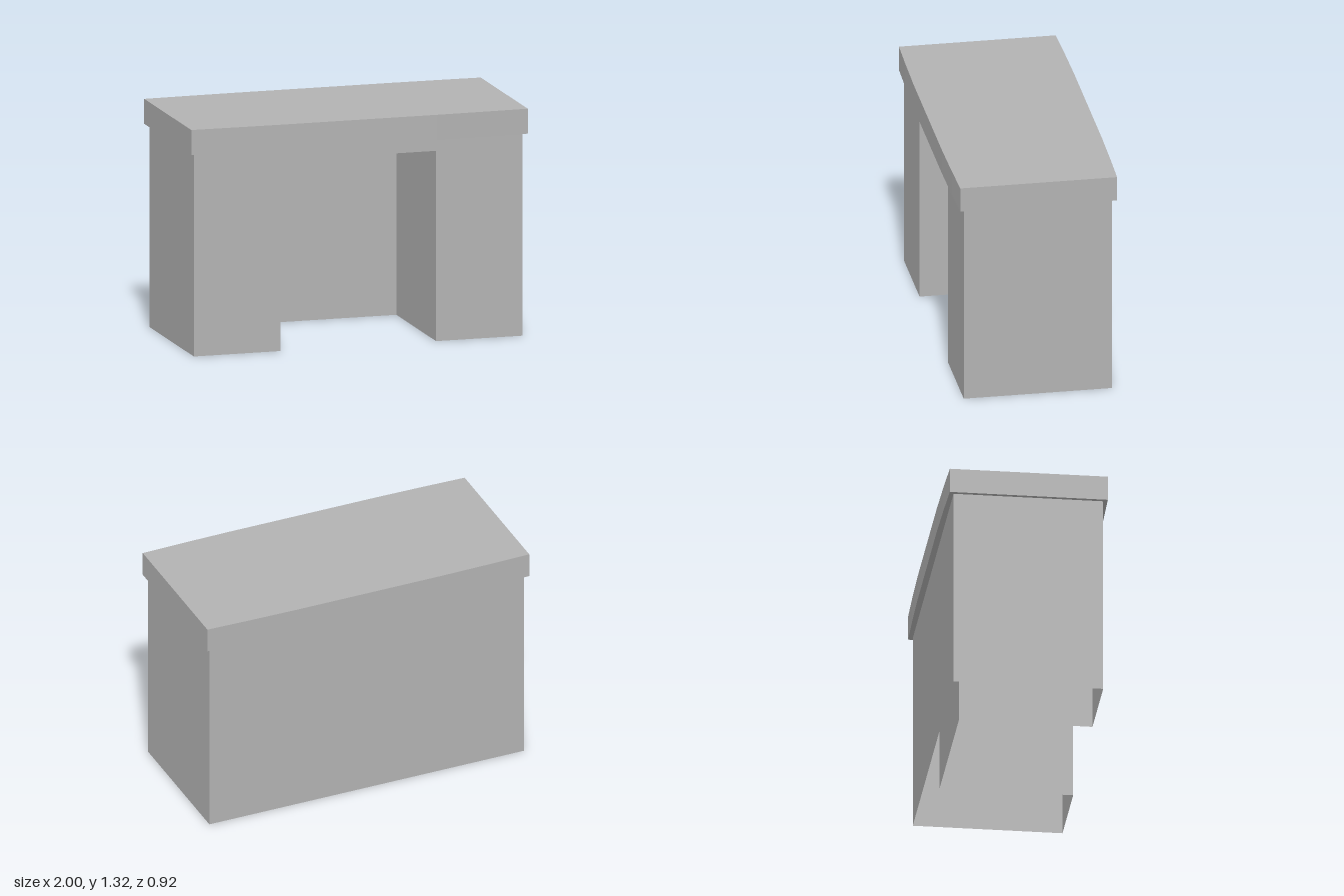
import * as THREE from 'three';

const grey = new THREE.MeshStandardMaterial({ color: 0xb2b2b2, side: THREE.DoubleSide });
grey.name = 'plain grey';

// Overall measures
const W = 0.977, D = 0.428, H = 1.175;            // body half width, half depth, height
const KW = 0.4625, KH = 1.104, KZ = -0.336;       // kneehole half width, height, back
const TOP = 1.32;

function add(parent, name, geometry, x = 0, y = 0, z = 0, rx = 0, ry = 0) {
  const mesh = new THREE.Mesh(geometry, grey);
  mesh.name = name;
  mesh.position.set(x, y, z);
  mesh.rotation.set(rx, ry, 0);
  parent.add(mesh);
}

export function createModel() {
  const desk = new THREE.Group();
  desk.name = 'desk';

  // Hollow body of thin sheets, open underneath
  const body = new THREE.Group();
  body.name = 'body';
  desk.add(body);
  const front = new THREE.Shape([
    [-W, 0], [-KW, 0], [-KW, KH], [KW, KH], [KW, 0], [W, 0], [W, H], [-W, H],
  ].map(([x, y]) => new THREE.Vector2(x, y)));
  add(body, 'frontPanel', new THREE.ShapeGeometry(front), 0, 0, D);
  add(body, 'backPanel', new THREE.PlaneGeometry(2 * W, H), 0, H / 2, -D, 0, Math.PI);

  // Kneehole recess
  const depth = D - KZ, midZ = (D + KZ) / 2;
  add(body, 'kneeholeBack', new THREE.PlaneGeometry(2 * KW, KH), 0, KH / 2, KZ);
  add(body, 'kneeholeCeiling', new THREE.PlaneGeometry(2 * KW, depth), 0, KH, midZ, Math.PI / 2);

  // Outer sides and kneehole sides, mirrored
  for (const [side, s] of [['left', 1], ['right', -1]]) {
    add(body, side + 'Side', new THREE.PlaneGeometry(2 * D, H), s * W, H / 2, 0, 0, s * Math.PI / 2);
    add(body, side + 'KneeholeSide', new THREE.PlaneGeometry(depth, KH), s * KW, KH / 2, midZ, 0, -s * Math.PI / 2);
  }

  // Worktop slab with slightly bowed long edges
  const edge = [[-1, 0.452], [-0.75, 0.458], [-0.46, 0.462], [0.46, 0.462], [0.75, 0.458], [1, 0.452]];
  const outline = [
    ...edge.map(([x, z]) => new THREE.Vector2(x, -z)),
    ...edge.map(([x, z]) => new THREE.Vector2(-x, z)),
  ];
  const slab = new THREE.ExtrudeGeometry(new THREE.Shape(outline), { depth: TOP - H, bevelEnabled: false });
  add(desk, 'worktop', slab, 0, H, 0, -Math.PI / 2);

  return desk;
}
